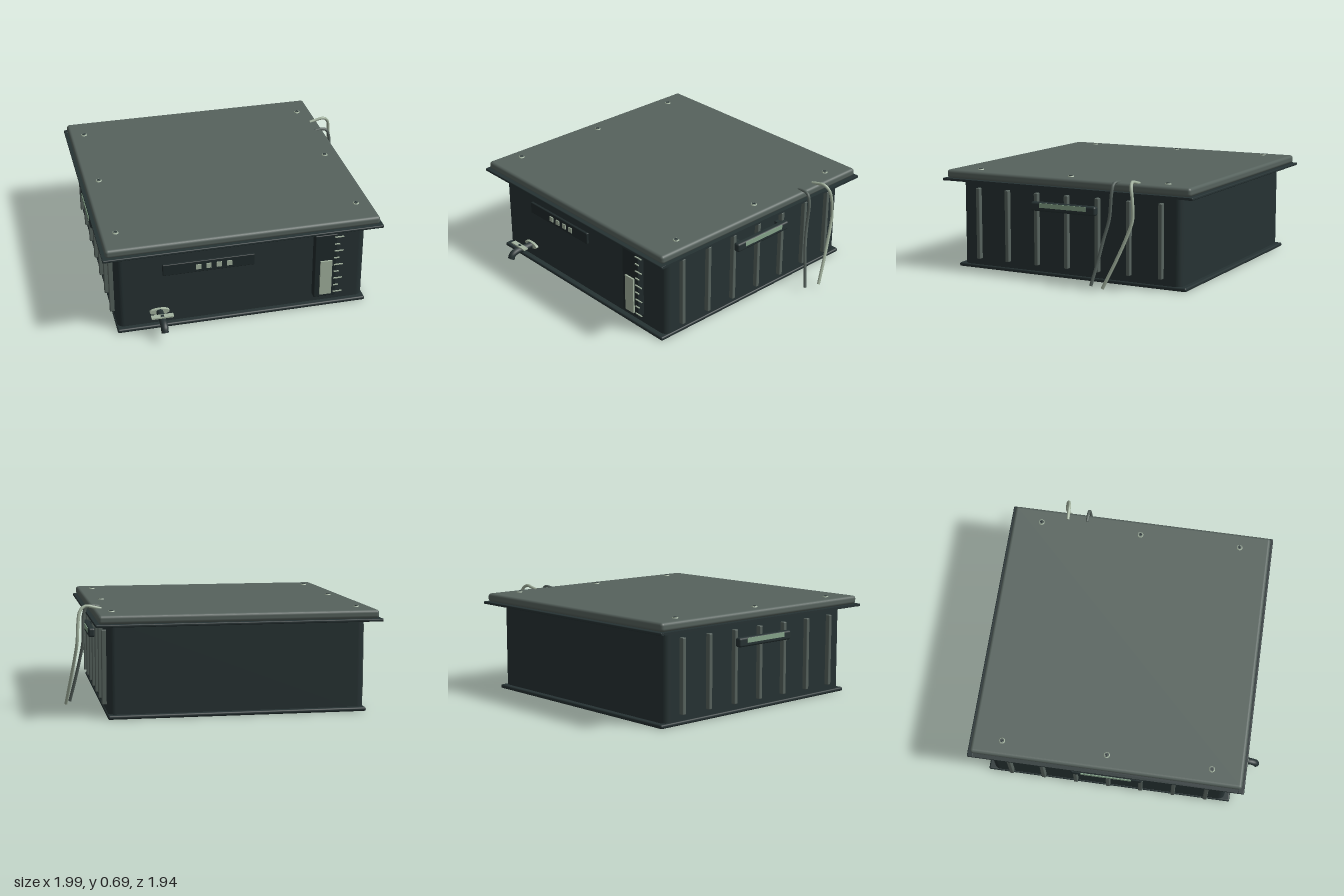
import * as THREE from 'three';
import { RoundedBoxGeometry } from 'three/addons/geometries/RoundedBoxGeometry.js';

export function createModel() {
  const root = new THREE.Group();
  root.name = 'tankBox';
  const mat = (name, color) => Object.assign(new THREE.MeshStandardMaterial({ color }), { name });
  const dark = mat('darkShell', 0x263233);
  const grey = mat('greyLid', 0x56625d);
  const pale = mat('paleFitting', 0xa3b39f);
  const green = mat('greenGrip', 0x86a58b);
  const panelMat = mat('panelBlack', 0x1f292a);

  const add = (name, geo, m, x = 0, y = 0, z = 0, parent = root) => {
    const mesh = new THREE.Mesh(geo, m);
    mesh.name = name;
    mesh.position.set(x, y, z);
    parent.add(mesh);
    return mesh;
  };
  // Boxes given by their minimum and maximum corners
  const box = (name, m, a, b, r = 0, parent = root) => {
    const s = a.map((v, i) => b[i] - v), c = a.map((v, i) => (v + b[i]) / 2);
    const geo = r ? new RoundedBoxGeometry(...s, 3, r) : new THREE.BoxGeometry(...s);
    return add(name, geo, m, ...c, parent);
  };

  // Tank body with softly rounded upright corners
  const w = 0.8275, d = 0.808, r = 0.045, cx = -0.0825, cz = -0.05;
  const outline = new THREE.Shape();
  [[w, d, 0], [-w, d, 1], [-w, -d, 2], [w, -d, 3]].forEach(([x, y, k]) => {
    outline.absarc(x - Math.sign(x) * r, y - Math.sign(y) * r, r, k * Math.PI / 2, (k + 1) * Math.PI / 2, false);
  });
  const bodyGeo = new THREE.ExtrudeGeometry(outline, { depth: 0.6, bevelEnabled: false, curveSegments: 8 });
  bodyGeo.rotateX(-Math.PI / 2);
  add('body', bodyGeo, dark, cx, 0.01, cz);
  box('baseRim', dark, [-0.917, 0.002, -0.893], [0.752, 0.028, 0.795], 0.011);

  // Lid, seal and the thin frame strips beneath it
  box('lid', grey, [-0.98, 0.61, -0.945], [0.812, 0.666, 0.843], 0.02);
  box('lidSeal', dark, [-0.945, 0.597, -0.905], [0.78, 0.612, 0.805]);
  box('frameLeft', dark, [0.79, 0.595, -0.96], [0.83, 0.61, 0.855]);
  box('frameRight', dark, [-1, 0.595, -0.96], [-0.96, 0.61, 0.855]);
  box('frameFront', dark, [-1, 0.593, 0.82], [0.83, 0.611, 0.863], 0.006);
  box('frameBack', dark, [-1, 0.593, -0.967], [0.83, 0.611, -0.925], 0.006);

  // Lid screws with a dark cross recess
  for (const x of [-0.88, 0.71]) for (const z of [-0.747, -0.055, 0.635]) {
    const screw = new THREE.Group();
    screw.name = 'screw';
    screw.position.set(x, 0.665, z);
    root.add(screw);
    add('screwHead', new THREE.CylinderGeometry(0.018, 0.022, 0.008, 20), pale, 0, 0.003, 0, screw);
    add('screwFace', new THREE.CylinderGeometry(0.015, 0.015, 0.002, 20), grey, 0, 0.0075, 0, screw);
    add('screwSlot', new THREE.BoxGeometry(0.022, 0.002, 0.006), dark, 0, 0.0085, 0, screw);
    add('screwSlot', new THREE.BoxGeometry(0.006, 0.002, 0.022), dark, 0, 0.0085, 0, screw);
  }

  // Ribs and carrying handles on both sides
  for (const s of [-1, 1]) {
    const side = new THREE.Group();
    side.name = s > 0 ? 'leftSide' : 'rightSide';
    side.position.x = cx;
    root.add(side);
    for (let i = 0; i < 7; i++) {
      add('rib', new RoundedBoxGeometry(0.04, 0.48, 0.028, 2, 0.006), grey, s * 0.838, 0.31, 0.624 - i * 0.2245, side);
    }
    add('handleBracket', new RoundedBoxGeometry(0.045, 0.06, 0.475, 3, 0.014), dark, s * 0.878, 0.47, cz, side);
    for (const z of [-0.2, 0.2]) {
      add('handleMount', new THREE.BoxGeometry(0.04, 0.045, 0.05), dark, s * 0.845, 0.47, cz + z, side);
    }
    add('handleGrip', new THREE.BoxGeometry(0.006, 0.03, 0.34), green, s * 0.899, 0.48, cz, side);
  }

  // Control panel with four buttons
  box('controlPanel', panelMat, [-0.61, 0.385, 0.75], [-0.005, 0.465, 0.775], 0.005);
  for (let i = 0; i < 4; i++) {
    add('button', new THREE.BoxGeometry(0.034, 0.034, 0.008), pale, -0.377 + i * 0.0675, 0.426, 0.778);
  }

  // Level gauge with graduations
  box('gaugeHousing', panelMat, [0.39, 0.085, 0.75], [0.54, 0.555, 0.806], 0.006);
  box('gaugeFill', pale, [0.427, 0.108, 0.8], [0.506, 0.363, 0.818]);
  for (let i = 0; i < 9; i++) {
    const len = i % 2 ? 0.035 : 0.06;
    add('gaugeTick', new THREE.BoxGeometry(len, 0.006, 0.008), pale, 0.52 + len / 2, 0.115 + i * 0.0525, 0.81);
  }

  // Drain tap: collar, spout, stem and lever
  const tx = -0.637;
  const tube = (name, pts, radius, m) => {
    const curve = new THREE.CatmullRomCurve3(pts.map(p => new THREE.Vector3(...p)));
    add(name, new THREE.TubeGeometry(curve, 40, radius, 10), m);
    const ends = [[0, -1], [1, 1]];
    for (const [t, sign] of ends) {
      const cap = add(name + 'End', new THREE.CircleGeometry(radius, 10), m);
      const p = curve.getPointAt(t);
      cap.position.copy(p);
      cap.lookAt(p.clone().addScaledVector(curve.getTangentAt(t), sign));
    }
  };
  const collar = add('tapCollar', new THREE.CylinderGeometry(0.065, 0.065, 0.02, 24), pale, tx, 0.118, 0.768);
  collar.rotation.x = Math.PI / 2;
  collar.scale.z = 0.32;
  tube('tapSpout', [[tx, 0.115, 0.75], [tx, 0.115, 0.85], [tx, 0.113, 0.905], [tx, 0.098, 0.935], [tx, 0.072, 0.948]], 0.024, dark);
  add('tapStem', new THREE.CylinderGeometry(0.014, 0.018, 0.04, 12), dark, tx, 0.13, 0.87);
  add('tapLever', new THREE.BoxGeometry(0.145, 0.01, 0.036), pale, tx, 0.145, 0.87);

  // Two cables hanging over the lid edge
  tube('rearCable', [[0.757, 0.664, -0.57], [0.8, 0.674, -0.572], [0.86, 0.684, -0.573], [0.895, 0.655, -0.585], [0.91, 0.58, -0.6],
    [0.917, 0.46, -0.605], [0.93, 0.36, -0.575], [0.955, 0.2, -0.51], [0.983, 0.025, -0.43]], 0.0105, pale);
  tube('frontCable', [[0.757, 0.664, -0.435], [0.81, 0.669, -0.435], [0.842, 0.658, -0.433], [0.862, 0.6, -0.43],
    [0.864, 0.44, -0.415], [0.885, 0.31, -0.385], [0.915, 0.17, -0.36], [0.95, 0.025, -0.33]], 0.0105, grey);
  return root;
}
